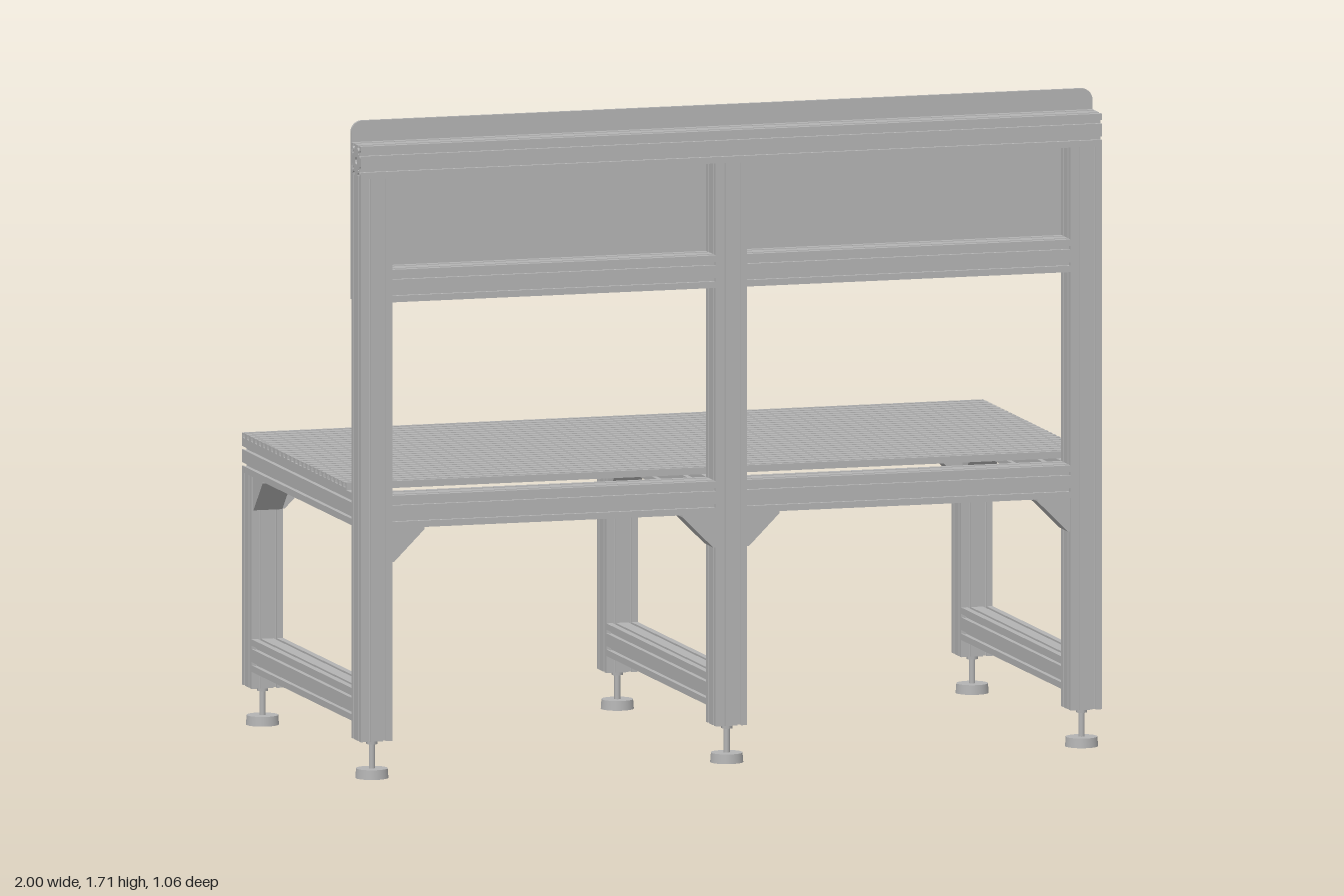
import * as THREE from 'three';

const S = 0.0425;            // half width of the slotted profile
const LEG = 1 - S;           // x of the outer posts
const FRONT = 0.4875, BACK = -0.4875;

const grey = new THREE.MeshStandardMaterial({ color: 0xb3b3b3 });
grey.name = 'aluminium grey';

// Square profile with two T-slots per side and hollow cores
function slottedProfile() {
  const side = [[S, S]];
  for (const c of [S / 2, -S / 2]) {
    const half = [[0.0045, 0], [0.0045, 0.005], [0.0098, 0.005], [0.0098, 0.008], [0.005, 0.013]];
    for (const [w, d] of half) side.push([c + w, S - d]);
    for (const [w, d] of [...half].reverse()) side.push([c - w, S - d]);
  }
  const pts = [];
  for (let k = 0; k < 4; k++) {
    for (const [x, y] of side) {
      const p = new THREE.Vector2(x, y);
      pts.push(p.rotateAround(new THREE.Vector2(), k * Math.PI / 2));
    }
  }
  const shape = new THREE.Shape(pts);
  const hole = (x, y, r) => shape.holes.push(new THREE.Path().absarc(x, y, r, 0, Math.PI * 2, true));
  for (const x of [-S / 2, S / 2]) for (const y of [-S / 2, S / 2]) hole(x, y, 0.0035);
  hole(0, 0, 0.01);
  return shape;
}

export function createModel() {
  const model = new THREE.Group();
  model.name = 'workbench';
  const profile = slottedProfile();

  const add = (name, geometry, x = 0, y = 0, z = 0) => {
    const mesh = new THREE.Mesh(geometry, grey);
    mesh.name = name;
    mesh.position.set(x, y, z);
    model.add(mesh);
    return mesh;
  };
  const extrude = (shape, depth) =>
    new THREE.ExtrudeGeometry(shape, { depth, bevelEnabled: false, curveSegments: 6 });

  // Slotted bar along an axis, starting at the given point
  const bar = (name, axis, length, x, y, z) => {
    const g = extrude(profile, length);
    if (axis === 'x') g.rotateY(Math.PI / 2);
    if (axis === 'y') g.rotateX(-Math.PI / 2);
    return add(name, g, x, y, z);
  };

  // Corner bracket below a beam; angle turns it around the vertical
  const gussetShape = new THREE.Shape([
    [0, 0], [0, -0.088], [0.006, -0.088], [0.088, -0.006], [0.088, 0],
  ].map(([x, y]) => new THREE.Vector2(x, y)));
  const gusset = (x, z, angle) => {
    const g = extrude(gussetShape, 0.078);
    g.translate(0, 0, -0.039);
    add('cornerBracket', g, x, 0.655, z).rotation.y = angle;
  };

  // Levelling foot
  const foot = (x, z) => {
    add('footPad', new THREE.CylinderGeometry(0.041, 0.043, 0.025, 32), x, 0.0125, z);
    add('footStem', new THREE.CylinderGeometry(0.008, 0.008, 0.08, 16), x, 0.06, z);
    add('footNut', new THREE.CylinderGeometry(0.015, 0.015, 0.012, 6), x, 0.094, z);
  };

  // Three side frames: post, leg, upper and lower rails
  for (const x of [-LEG, 0, LEG]) {
    const outer = x !== 0;
    bar('frontPost', 'y', 1.47, x, 0.1, FRONT);
    bar('backLeg', 'y', 0.555, x, 0.1, BACK);
    const start = outer ? -0.53 : -0.445;
    bar('tableCrossRail', 'z', 0.445 - start, x, 0.6975, start);
    bar('lowerRail', 'z', 0.89, x, 0.1875, -0.445);
    foot(x, FRONT);
    foot(x, BACK);
    gusset(x, BACK + S, -Math.PI / 2);
    // Brackets pointing along the width
    for (const s of [-1, 1]) {
      if (s * x > 0) continue;
      gusset(x + s * S, FRONT, s > 0 ? 0 : Math.PI);
      if (outer) gusset(x + s * S, BACK, s > 0 ? 0 : Math.PI);
    }
  }

  // Front rails between the posts
  for (const x of [-LEG + S, S]) {
    bar('frontTableRail', 'x', LEG - 2 * S, x, 0.6975, FRONT);
    bar('frontMiddleRail', 'x', LEG - 2 * S, x, 1.2875, FRONT);
  }
  bar('topBeam', 'x', 2, -1, 1.6125, FRONT);
  bar('backTableBeam', 'x', 2 * (LEG - S), -LEG + S, 0.6975, BACK);

  // Table top: plate with T-slots along the width
  const z0 = -0.4, z1 = 0.53, slots = 26, pitch = (z1 - z0) / slots;
  const top = [[z0, 0.74], [z1, 0.74], [z1, 0.758]];
  for (let i = slots - 1; i >= 0; i--) {
    const c = z0 + (i + 0.5) * pitch;
    top.push([c + 0.006, 0.758], [c + 0.006, 0.753], [c + 0.0105, 0.753], [c + 0.0105, 0.745],
      [c - 0.0105, 0.745], [c - 0.0105, 0.753], [c - 0.006, 0.753], [c - 0.006, 0.758]);
  }
  top.push([z0, 0.758]);
  const topShape = new THREE.Shape(top.map(([a, b]) => new THREE.Vector2(a, b)));
  add('tableTop', extrude(topShape, 2).rotateY(Math.PI / 2), -1);

  // Upright panel with rounded top corners
  const r = 0.03, h = 1.71, b = 1.245;
  const panel = new THREE.Shape();
  panel.moveTo(-1, b);
  panel.lineTo(1, b);
  panel.lineTo(1, h - r);
  panel.absarc(1 - r, h - r, r, 0, Math.PI / 2, false);
  panel.lineTo(-1 + r, h);
  panel.absarc(-1 + r, h - r, r, Math.PI / 2, Math.PI, false);
  panel.closePath();
  add('upperPanel', extrude(panel, 0.009), 0, 0, 0.4355);

  return model;
}
